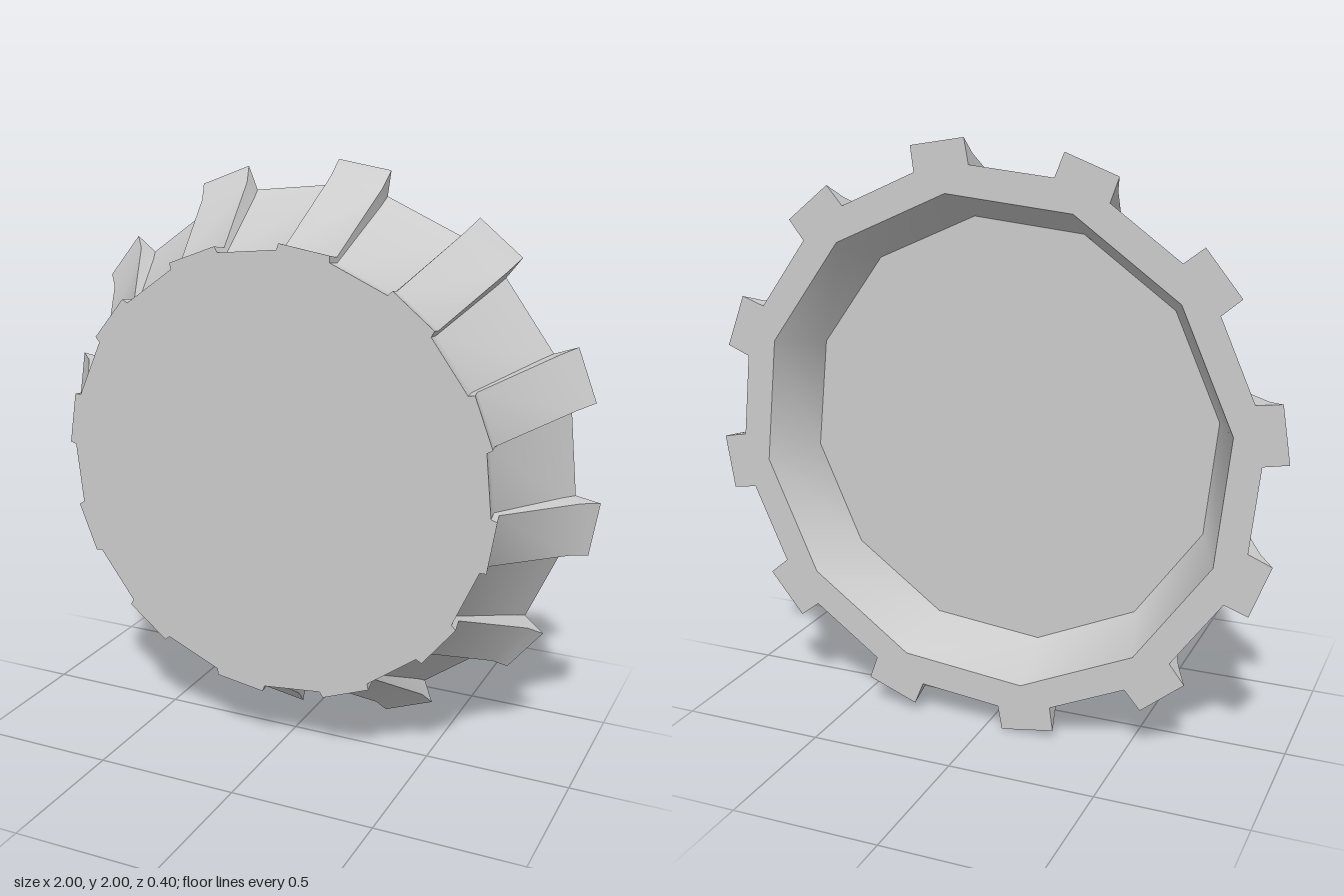
import * as THREE from 'three';
import { toCreasedNormals } from 'three/addons/utils/BufferGeometryUtils.js';

const TEETH = 12;
const START = THREE.MathUtils.degToRad(21);
const BACK = -0.2, FRONT = 0.2, FLOOR = 0;

// Levels from back to front: depth, valley radius, valley half width, tip radius, tip half width
const LEVELS = [
  [BACK, 0.916, 0.096, 1.0, 0.094],
  [-0.15, 0.888, 0.096, 0.948, 0.093],
  [0.14, 0.743, 0.092, 0.76, 0.088],
  [FRONT, 0.752, 0.092, 0.773, 0.088],
];

// Toothed outline, counter-clockwise seen from the front
function toothedRing([z, valleyR, valleyW, tipR, tipW]) {
  const points = [];
  for (let i = 0; i < TEETH; i++) {
    const a = START + (i / TEETH) * Math.PI * 2;
    for (const [r, w] of [[valleyR, -valleyW], [tipR, -tipW], [tipR, tipW], [valleyR, valleyW]]) {
      const angle = a + Math.asin(w / r);
      points.push(new THREE.Vector3(Math.cos(angle) * r, Math.sin(angle) * r, z));
    }
  }
  return points;
}

// Plain polygon with one corner behind each tooth
function plainRing(radius, z) {
  return Array.from({ length: TEETH }, (_, i) => {
    const a = START + (i / TEETH) * Math.PI * 2;
    return new THREE.Vector3(Math.cos(a) * radius, Math.sin(a) * radius, z);
  });
}

// Joins successive rings with quads
function loft(rings) {
  const n = rings[0].length;
  const index = [];
  for (let k = 0; k < rings.length - 1; k++) {
    for (let i = 0; i < n; i++) {
      const a = k * n + i, b = k * n + ((i + 1) % n);
      index.push(a, b, b + n, a, b + n, a + n);
    }
  }
  const geometry = new THREE.BufferGeometry().setFromPoints(rings.flat());
  geometry.setIndex(index);
  return toCreasedNormals(geometry, 0.8);
}

// Flat face filling an outline, optionally with a hole or turned to the back
function face(outline, z, hole, backward) {
  const flat = (ring) => ring.map((p) => new THREE.Vector2(p.x, p.y));
  const shape = new THREE.Shape(flat(outline));
  if (hole) shape.holes.push(new THREE.Path(flat(hole)));
  const geometry = new THREE.ShapeGeometry(shape);
  geometry.translate(0, 0, z);
  if (backward) {
    geometry.setIndex(Array.from(geometry.index.array).reverse());
    geometry.computeVertexNormals();
  }
  return geometry;
}

export function createModel() {
  const group = new THREE.Group();
  group.name = 'crimpedCap';
  const material = new THREE.MeshStandardMaterial({ color: 0xcccccc });
  const add = (name, geometry) => {
    const mesh = new THREE.Mesh(geometry, material);
    mesh.name = name;
    mesh.position.y = 1;
    group.add(mesh);
  };

  const outer = LEVELS.map(toothedRing);
  const rimRing = plainRing(0.833, BACK);
  const floorRing = plainRing(0.74, FLOOR);

  // Flared skirt with its teeth, and the front disc
  add('toothedSkirt', loft(outer));
  add('frontDisc', face(outer[3], FRONT));

  // Hollow back: flat rim, tapering wall and recessed floor
  add('backRim', face(outer[0], BACK, rimRing, true));
  add('innerWall', loft([floorRing, rimRing]));
  add('innerFloor', face(floorRing, FLOOR, null, true));

  return group;
}
